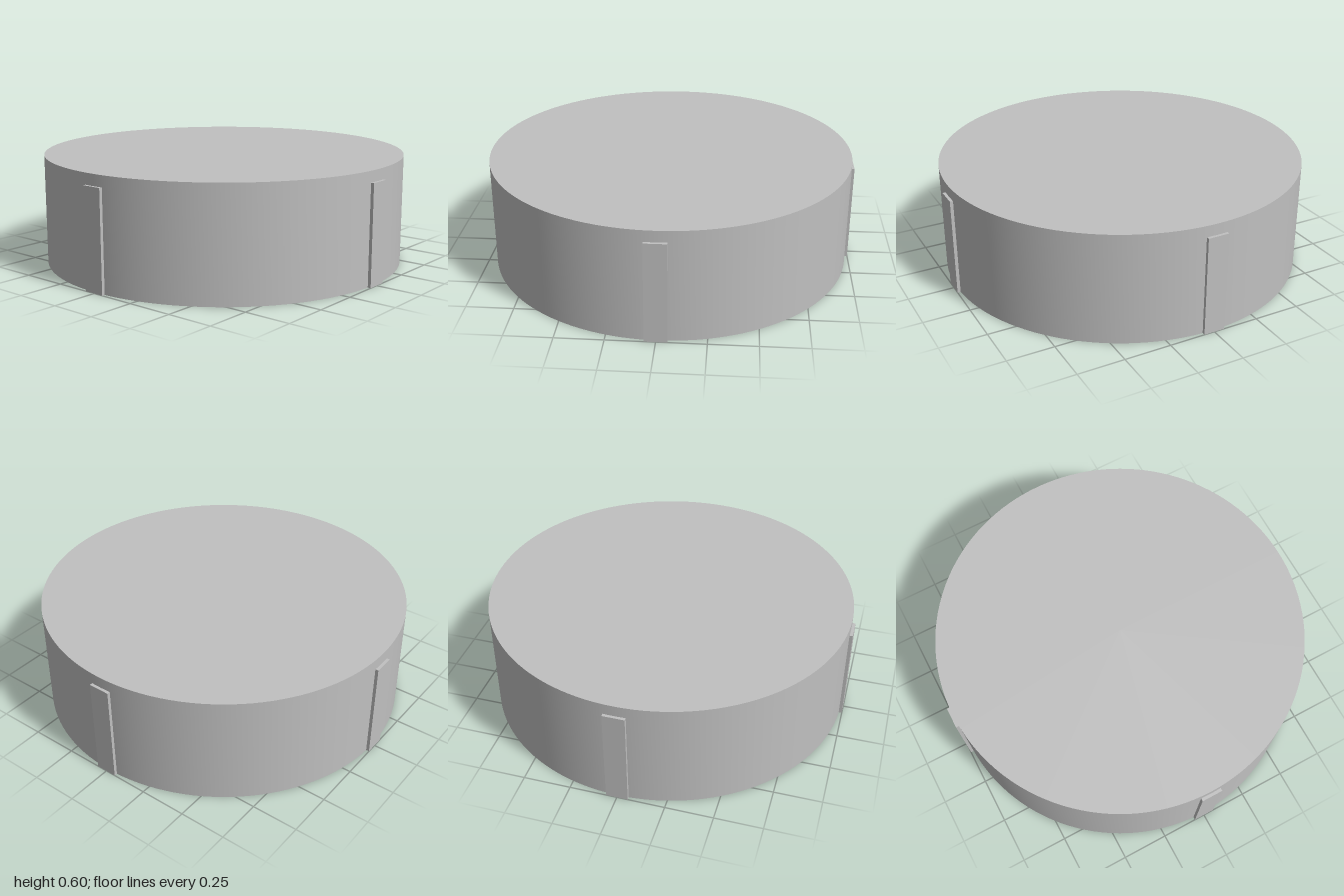
import * as THREE from 'three';
import { toCreasedNormals } from 'three/addons/utils/BufferGeometryUtils.js';

const OUTER = 0.985, INNER = 0.79, HEIGHT = 0.595, RECESS = 0.45;
const RIB_WIDTH = 0.115, RIB_HEIGHT = 0.535, RIB_REACH = 1, RIB_DEPTH = 0.04;

export function createModel() {
  const group = new THREE.Group();
  group.name = 'ribbedCap';
  const grey = new THREE.MeshStandardMaterial({ color: 0xc0c0c0 });
  grey.name = 'grey';

  // Round cap, closed on top, with a round recess underneath
  const profile = [
    [0, RECESS], [INNER, RECESS], [INNER, 0],
    [OUTER, 0], [OUTER, HEIGHT], [0, HEIGHT],
  ].map(([r, y]) => new THREE.Vector2(r, y));
  const cap = new THREE.Mesh(
    toCreasedNormals(new THREE.LatheGeometry(profile, 128), Math.PI / 6), grey);
  cap.name = 'cap';
  group.add(cap);

  // Four flat grip ribs, a quarter turn apart
  const ribGeometry = new THREE.BoxGeometry(RIB_WIDTH, RIB_HEIGHT, RIB_DEPTH);
  ribGeometry.translate(0, RIB_HEIGHT / 2, RIB_REACH - RIB_DEPTH / 2);
  ['frontRib', 'leftRib', 'backRib', 'rightRib'].forEach((name, i) => {
    const rib = new THREE.Mesh(ribGeometry, grey);
    rib.name = name;
    rib.rotation.y = i * Math.PI / 2;
    group.add(rib);
  });

  return group;
}
